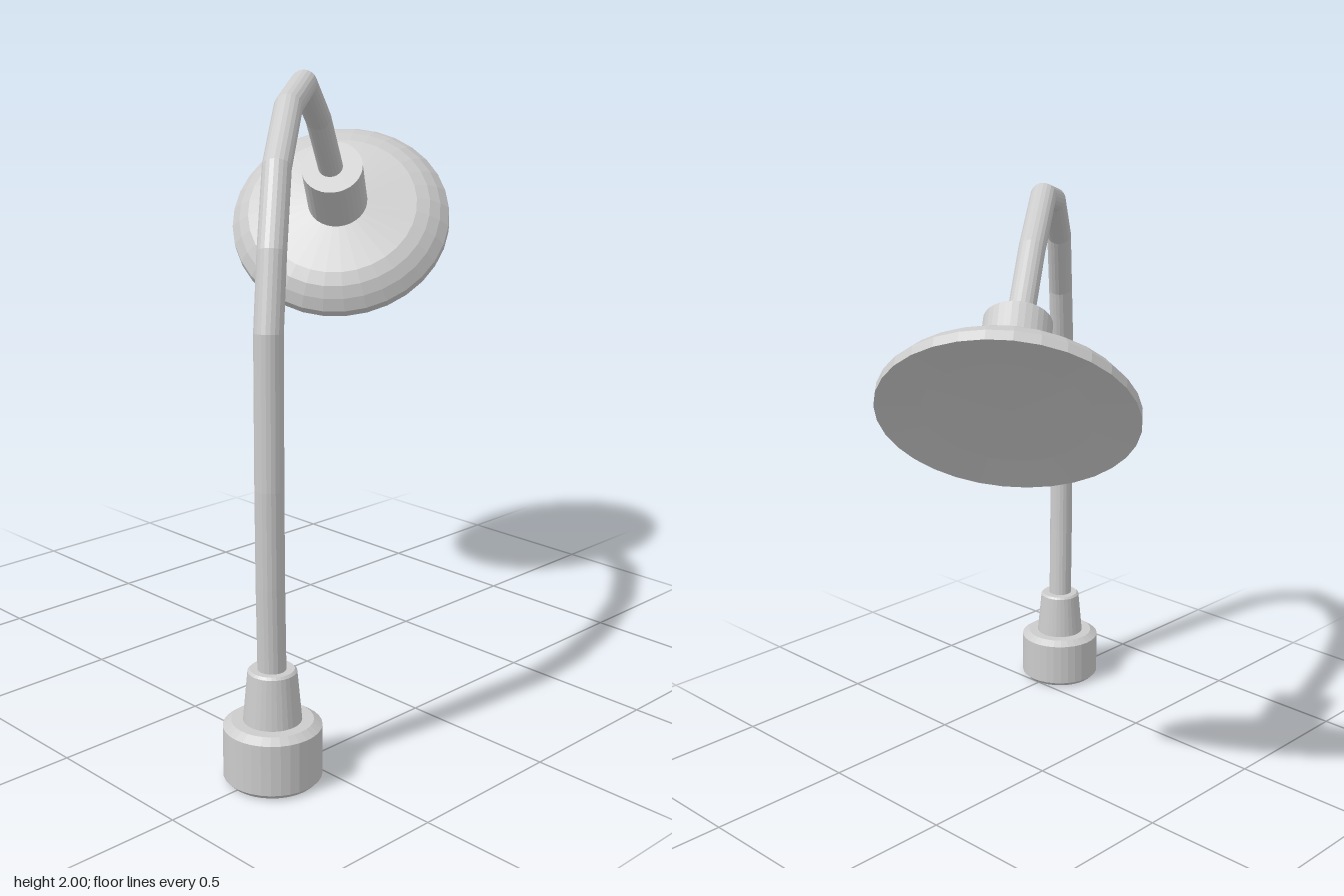
import * as THREE from 'three';

const material = new THREE.MeshStandardMaterial({ color: 0xcccccc, flatShading: true });

// Path whose tube rings fall exactly on the given points, mitred at each joint
class JointedPath extends THREE.Curve {
  constructor(points) {
    super();
    this.points = points.map((p) => new THREE.Vector3(...p));
  }
  index(u) {
    return Math.round(u * (this.points.length - 1));
  }
  getPoint(u, target = new THREE.Vector3()) {
    return target.copy(this.points[this.index(u)]);
  }
  getPointAt(u, target) {
    return this.getPoint(u, target);
  }
  getTangentAt(u, target = new THREE.Vector3()) {
    const i = this.index(u), p = this.points;
    const before = new THREE.Vector3(), after = new THREE.Vector3();
    if (i > 0) before.subVectors(p[i], p[i - 1]).normalize();
    if (i < p.length - 1) after.subVectors(p[i + 1], p[i]).normalize();
    return target.addVectors(before, after).normalize();
  }
}

function lathe(name, profile, sides) {
  const points = profile.map(([r, y]) => new THREE.Vector2(r, y));
  const mesh = new THREE.Mesh(new THREE.LatheGeometry(points, sides), material);
  mesh.name = name;
  return mesh;
}

export function createModel() {
  const model = new THREE.Group();
  model.name = 'gooseneckLamp';

  // Round foot with chamfered edges, and the tapered neck above it
  const base = new THREE.Group();
  base.name = 'base';
  base.position.set(0.511, 0, 0.631);
  base.add(
    lathe('foot', [[0, 0], [0.13, 0], [0.145, 0.015], [0.145, 0.168], [0.12, 0.185], [0, 0.185]], 32),
    lathe('neck', [[0.086, 0.185], [0.072, 0.335], [0.065, 0.342], [0, 0.342]], 32)
  );
  model.add(base);

  // Bent arm
  const path = new JointedPath([
    [0.511, 0.3, 0.632], [0.52, 0.6, 0.645], [0.527, 0.89, 0.653], [0.524, 1.33, 0.65],
    [0.487, 1.545, 0.602], [0.407, 1.76, 0.508], [0.284, 1.91, 0.348], [0.125, 1.96, 0.135],
    [-0.04, 1.835, -0.088], [-0.185, 1.62, -0.3],
  ]);
  const arm = new THREE.Mesh(new THREE.TubeGeometry(path, path.points.length - 1, 0.042, 20), material);
  arm.name = 'arm';
  model.add(arm);

  // Lamp head, tilted; its origin is the centre of the shade's rim
  const head = new THREE.Group();
  head.name = 'lampHead';
  head.position.set(-0.305, 1.445, -0.458);
  head.quaternion.setFromUnitVectors(
    new THREE.Vector3(0, 1, 0),
    new THREE.Vector3(0.463, 0.656, 0.596).normalize()
  );
  // Shallow closed underside, short upright rim, then the domed top
  head.add(
    lathe('shade', [
      [0, 0.005], [0.25, -0.003], [0.384, -0.017], [0.384, 0.015],
      [0.355, 0.05], [0.32, 0.077], [0.275, 0.095], [0.1, 0.118], [0, 0.118],
    ], 32),
    lathe('socket', [[0.104, 0.1], [0.104, 0.324], [0, 0.324]], 32)
  );
  model.add(head);

  return model;
}
